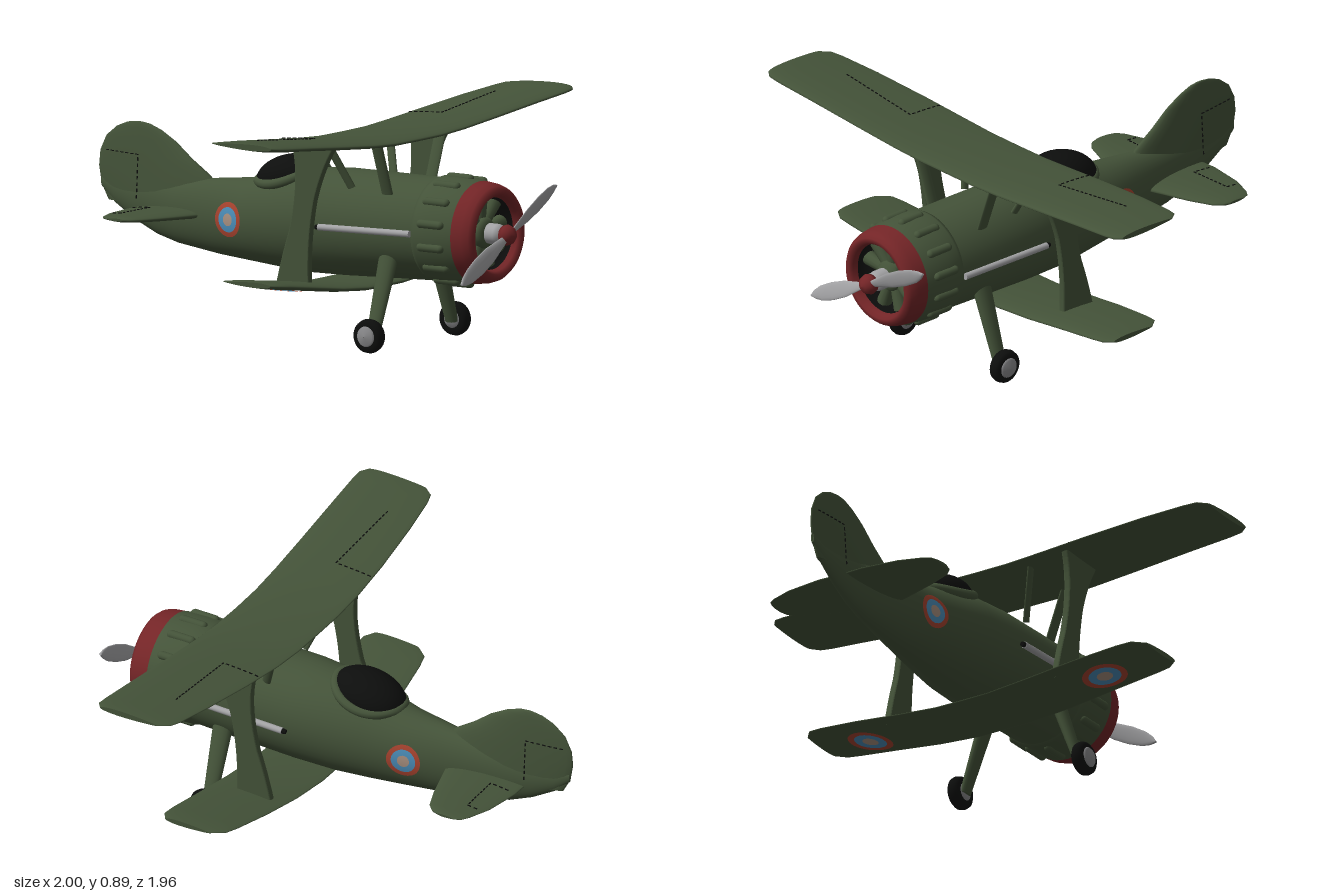
import * as THREE from 'three';

const paint = (name, color, side = THREE.FrontSide) => {
  const m = new THREE.MeshStandardMaterial({ color, side });
  m.name = name;
  return m;
};
const V = (x, y, z) => new THREE.Vector3(x, y, z);

// Smooth skin through rings of points, with flat end caps
function loft(rings) {
  const n = rings[0].length, pos = [], idx = [];
  rings.forEach(r => r.forEach(p => pos.push(p.x, p.y, p.z)));
  for (let i = 0; i < rings.length - 1; i++) for (let j = 0; j < n; j++) {
    const a = i * n + j, b = i * n + (j + 1) % n;
    idx.push(a, b, a + n, b, b + n, a + n);
  }
  [rings[0], rings[rings.length - 1]].forEach((r, k) => {
    const base = pos.length / 3, c = V(0, 0, 0);
    r.forEach(p => { pos.push(p.x, p.y, p.z); c.addScaledVector(p, 1 / n); });
    pos.push(c.x, c.y, c.z);
    for (let j = 0; j < n; j++) {
      const a = base + j, b = base + (j + 1) % n;
      if (k) idx.push(a, b, base + n); else idx.push(b, a, base + n);
    }
  });
  // Turn the faces outward if the volume comes out negative
  const at = i => V().fromArray(pos, i * 3);
  let vol = 0;
  for (let i = 0; i < idx.length; i += 3) vol += at(idx[i]).dot(at(idx[i + 1]).cross(at(idx[i + 2])));
  if (vol < 0) idx.reverse();
  const g = new THREE.BufferGeometry();
  g.setAttribute('position', new THREE.Float32BufferAttribute(pos, 3));
  g.setIndex(idx);
  g.computeVertexNormals();
  return g;
}

// Linear interpolation in a table whose first column rises
function look(table, p) {
  let i = 0;
  while (i < table.length - 2 && p > table[i + 1][0]) i++;
  const a = table[i], b = table[i + 1], t = THREE.MathUtils.clamp((p - a[0]) / (b[0] - a[0]), 0, 1);
  return a.map((v, k) => v + (b[k] - v) * t);
}

// Foil stations: [position along span, front z, rear z, offset, half thickness]
const foil = c => Math.sqrt(Math.max(0, 1 - c * c)) * (0.8 + 0.3 * c);
function foilRing([p, front, rear, off, half], place) {
  const ring = [];
  for (let i = 0; i < 28; i++) {
    const a = i / 28 * Math.PI * 2, c = Math.cos(a);
    ring.push(place(p, off + Math.sign(Math.sin(a)) * half * foil(c), (front + rear) / 2 + c * (front - rear) / 2));
  }
  return ring;
}
function foilSkin(table, p, z, side) {
  const [, f, r, off, half] = look(table, Math.abs(p));
  return off + side * (half * foil((z - (f + r) / 2) / ((f - r) / 2)) + 0.002);
}
const flat = (p, d, z) => V(p, d, z), upright = (p, d, z) => V(d, p, z);
const bothSides = t => [...t.slice(1).reverse().map(([p, ...r]) => [-p, ...r]), ...t];

const UPPER = [[0, .53, .16, .797, .019], [.15, .532, .16, .798, .019], [.3, .537, .163, .808, .019], [.5, .545, .175, .828, .019],
  [.75, .556, .20, .855, .019], [.92, .564, .225, .872, .019], [.97, .563, .24, .878, .018], [1, .54, .28, .881, .014]];
const LOWER = [[0, .38, .07, .222, .019], [.12, .383, .07, .223, .019], [.3, .39, .075, .241, .019], [.5, .398, .09, .27, .019],
  [.68, .408, .115, .296, .018], [.74, .407, .13, .304, .017], [.78, .38, .18, .308, .012]];
const STAB = [[0, -.43, -.78, .425, .026], [.1, -.46, -.78, .427, .022], [.25, -.505, -.755, .43, .018],
  [.34, -.54, -.72, .432, .014], [.37, -.57, -.70, .432, .011], [.38, -.6, -.675, .432, .006]];
const FIN = [[.44, -.4, -.935, 0, .05], [.5, -.41, -.968, 0, .045], [.57, -.45, -.98, 0, .037], [.63, -.54, -.974, 0, .029],
  [.69, -.615, -.945, 0, .021], [.73, -.685, -.895, 0, .014], [.75, -.74, -.845, 0, .009], [.755, -.775, -.81, 0, .004]];
// Fuselage stations: [z, bottom, top, half width]
const BODY = [[-.965, .49, .53, .008], [-.9, .43, .52, .018], [-.8, .37, .525, .032], [-.7, .326, .535, .045], [-.6, .30, .545, .06],
  [-.4, .274, .57, .095], [-.25, .262, .585, .126], [-.1, .25, .62, .155], [.03, .242, .65, .178], [.2, .245, .66, .194],
  [.45, .255, .66, .2], [.65, .262, .66, .199]];
function bodyX(y, z) {
  const [, b, t, w] = look(BODY, z);
  return w * Math.sqrt(Math.max(0, 1 - ((y - (b + t) / 2) / ((t - b) / 2)) ** 2));
}

export function createModel() {
  const plane = new THREE.Group();
  plane.name = 'biplane';
  const green = paint('olive green', 0x445339), red = paint('cowl red', 0x742527), black = paint('black', 0x0d0e0d, THREE.DoubleSide),
    silver = paint('silver', 0xa3a3a5), grey = paint('wheel hub grey', 0x8a8a8c),
    markRed = paint('marking red', 0xa8432f, THREE.DoubleSide), markBlue = paint('marking blue', 0x4b8db8, THREE.DoubleSide),
    markTan = paint('marking tan', 0xa89080, THREE.DoubleSide);
  const add = (name, geo, mat, parent = plane) => {
    const m = new THREE.Mesh(geo, mat);
    m.name = name;
    parent.add(m);
    return m;
  };
  // Tapered rod between two points
  const rod = (name, a, b, r0, r1, mat, flatX = 1) => {
    const m = add(name, new THREE.CylinderGeometry(r1, r0, a.distanceTo(b), 16).scale(flatX, 1, 1), mat);
    m.position.copy(a).lerp(b, .5);
    m.quaternion.setFromUnitVectors(V(0, 1, 0), b.clone().sub(a).normalize());
    return m;
  };
  const lathe = pts => new THREE.LatheGeometry(pts.map(p => new THREE.Vector2(...p)), 48).rotateX(Math.PI / 2);

  // Fuselage, wings and tail
  add('fuselage', loft(BODY.map(([z, b, t, w]) => Array.from({ length: 40 }, (_, i) => {
    const a = i / 40 * Math.PI * 2;
    return V(w * Math.cos(a), (b + t) / 2 + (t - b) / 2 * Math.sin(a), z);
  }))), green);
  for (const [name, t] of [['upperWing', UPPER], ['lowerWing', LOWER], ['tailplane', STAB]])
    add(name, loft(bothSides(t).map(s => foilRing(s, flat))), green);
  add('fin', loft(FIN.map(s => foilRing(s, upright))), green);

  // Cockpit: dark dome in a padded collar
  const dome = add('cockpitDome', new THREE.SphereGeometry(1, 32, 20).scale(.112, .09, .155), black);
  dome.position.set(0, .602, -.07);
  dome.rotation.x = -.22;
  const collar = new THREE.CatmullRomCurve3(Array.from({ length: 24 }, (_, i) => {
    const a = i / 24 * Math.PI * 2, s = Math.sin(a), c = Math.cos(a);
    return V(.118 * s * (.93 + .1 * c), .618 + .032 * c - .03 * s * s, -.072 + .14 * c);
  }), true);
  add('cockpitCollar', new THREE.TubeGeometry(collar, 64, .02, 10, true), green);

  // Engine cowling
  const nose = new THREE.Group();
  nose.name = 'nose';
  nose.position.y = .463;
  plane.add(nose);
  add('cowling', lathe([[.185, .625], [.2, .628], [.207, .645], [.21, .7], [.207, .77], [.199, .815]]), green, nose);
  add('cowlRing', lathe([[.199, .815], [.194, .86], [.185, .888], [.172, .903], [.156, .903], [.145, .89], [.14, .86]]), red, nose);
  add('cowlInside', lathe([[.14, .87], [.14, .79], [.001, .79]]), black, nose);
  for (let i = 0; i < 14; i++) {
    const a = (i + .5) / 14 * Math.PI * 2;
    const bump = add('cowlBump', new THREE.CapsuleGeometry(.017, .09, 6, 12).rotateX(Math.PI / 2), green, nose);
    bump.position.set(.204 * Math.cos(a), .204 * Math.sin(a), .722);
  }
  for (let i = 0; i < 9; i++) {
    const a = i / 9 * Math.PI * 2;
    const cyl = add('engineCylinder', new THREE.CylinderGeometry(.03, .02, .11, 12), green, nose);
    cyl.position.set(-.085 * Math.sin(a), .085 * Math.cos(a), .815);
    cyl.rotation.z = a;
  }
  add('crankcase', lathe([[.06, .79], [.06, .84], [.045, .86], [.001, .865]]), green, nose);

  // Propeller
  add('propShaft', lathe([[.04, .85], [.04, .9], [.032, .93], [.001, .93]]), silver, nose);
  add('spinner', lathe([[.001, .92], [.036, .925], [.041, .942], [.034, .962], [.018, .976], [.001, .98]]), red, nose);
  for (const turn of [0, Math.PI]) {
    const blade = add('propBlade', loft([[.02, .012], [.07, .02], [.14, .032], [.22, .035], [.29, .029], [.33, .017], [.35, .004]].map(([x, w]) =>
      Array.from({ length: 14 }, (_, i) => {
        const a = i / 14 * Math.PI * 2, y = w * Math.cos(a), pitch = .35 - x * .5;
        return V(x, y * Math.cos(pitch), y * Math.sin(pitch) + .006 * Math.sin(a));
      }))), silver, nose);
    blade.position.z = .95;
    blade.rotation.z = .46 + turn;
  }

  // Leaning wing strut with flared ends, as a side outline
  const strut = new THREE.Shape();
  strut.moveTo(-.41, .815);
  strut.quadraticCurveTo(-.345, .72, -.31, .59);
  strut.quadraticCurveTo(-.275, .42, -.285, .25);
  strut.lineTo(-.14, .25);
  strut.quadraticCurveTo(-.165, .36, -.2, .46);
  strut.quadraticCurveTo(-.255, .68, -.21, .815);
  const strutGeo = new THREE.ExtrudeGeometry(strut, { depth: .014, bevelSize: .006, bevelThickness: .008, bevelSegments: 3, curveSegments: 10 })
    .translate(0, 0, -.007).rotateY(Math.PI / 2);

  // Dashed panel line between two points of a surface
  const dashes = (name, u0, v0, u1, v1, place) => {
    const n = Math.max(2, Math.round(Math.hypot(u1 - u0, v1 - v0) / .024));
    for (let i = 0; i < n; i++) {
      const at = t => place(u0 + (u1 - u0) * t, v0 + (v1 - v0) * t);
      const a = at(i / n), b = at((i + .55) / n);
      const d = add(name, new THREE.BoxGeometry(.004, .003, a.distanceTo(b)), black);
      d.position.copy(a).lerp(b, .5);
      d.lookAt(b);
    }
  };
  // Round marking whose points are laid onto a surface
  const roundel = (name, r, u, v, place) => {
    [[.72, 1, markRed], [.36, .72, markBlue], [0, .36, markTan]].forEach(([a, b, mat]) => {
      const g = new THREE.RingGeometry(a * r, b * r, 36, 4), p = g.attributes.position;
      for (let i = 0; i < p.count; i++) p.setXYZ(i, ...place(u + p.getX(i), v + p.getY(i)).toArray());
      g.computeVertexNormals();
      add(name, g, mat);
    });
  };

  for (const s of [1, -1]) {
    // Struts
    add('wingStrut', strutGeo, green).position.x = s * .385;
    rod('frontCabaneStrut', V(s * .14, .6, .478), V(s * .212, .8, .478), .026, .026, green, .35);
    rod('rearCabaneStrut', V(s * .14, .61, .31), V(s * .212, .8, .235), .018, .018, green, .5);

    // Landing gear
    rod('gearLeg', V(s * .262, .06, .495), V(s * .155, .36, .495), .028, .042, green, .62);
    const wheel = new THREE.Group();
    wheel.name = 'wheel';
    wheel.position.set(s * .285, .067, .495);
    wheel.rotation.y = s * Math.PI / 2;
    plane.add(wheel);
    add('tyre', lathe([[.035, -.024], [.052, -.025], [.063, -.016], [.067, 0], [.063, .016], [.052, .025], [.035, .024]]), black, wheel);
    add('hub', lathe([[.001, -.024], [.042, -.022], [.042, .022], [.034, .031], [.001, .036]]), grey, wheel);

    // Exhaust pipe
    rod('exhaustPipe', V(s * .205, .455, .2), V(s * .207, .465, .63), .013, .013, silver);
    rod('exhaustMouth', V(s * .204, .454, .185), V(s * .205, .455, .2), .009, .011, black);

    // Panel lines of aileron, elevator and rudder
    const on = t => (x, z) => V(s * x, foilSkin(t, x, z, 1), z);
    dashes('aileronLine', .42, .18, .42, .335, on(UPPER));
    dashes('aileronLine', .42, .335, .8, .295 + .03, on(UPPER));
    dashes('elevatorLine', .1, -.75, .1, -.67, on(STAB));
    dashes('elevatorLine', .1, -.67, .28, -.675, on(STAB));
    dashes('elevatorLine', .28, -.675, .28, -.73, on(STAB));
    const onFin = (y, z) => V(s * Math.max(foilSkin(FIN, y, z, 1), bodyX(y, z) + .002), y, z);
    dashes('rudderLine', .46, -.78, .63, -.78, onFin);
    dashes('rudderLine', .63, -.78, .635, -.95, onFin);

    // Markings on the fuselage and under the lower wing
    roundel('fuselageMarking', .068, .43, -.29, (y, z) => V(s * (bodyX(y, z) + .004), y, z));
    roundel('wingMarking', .088, .54, .255, (x, z) => V(s * x, foilSkin(LOWER, x, z, -1) - .002, z));
  }
  return plane;
}
